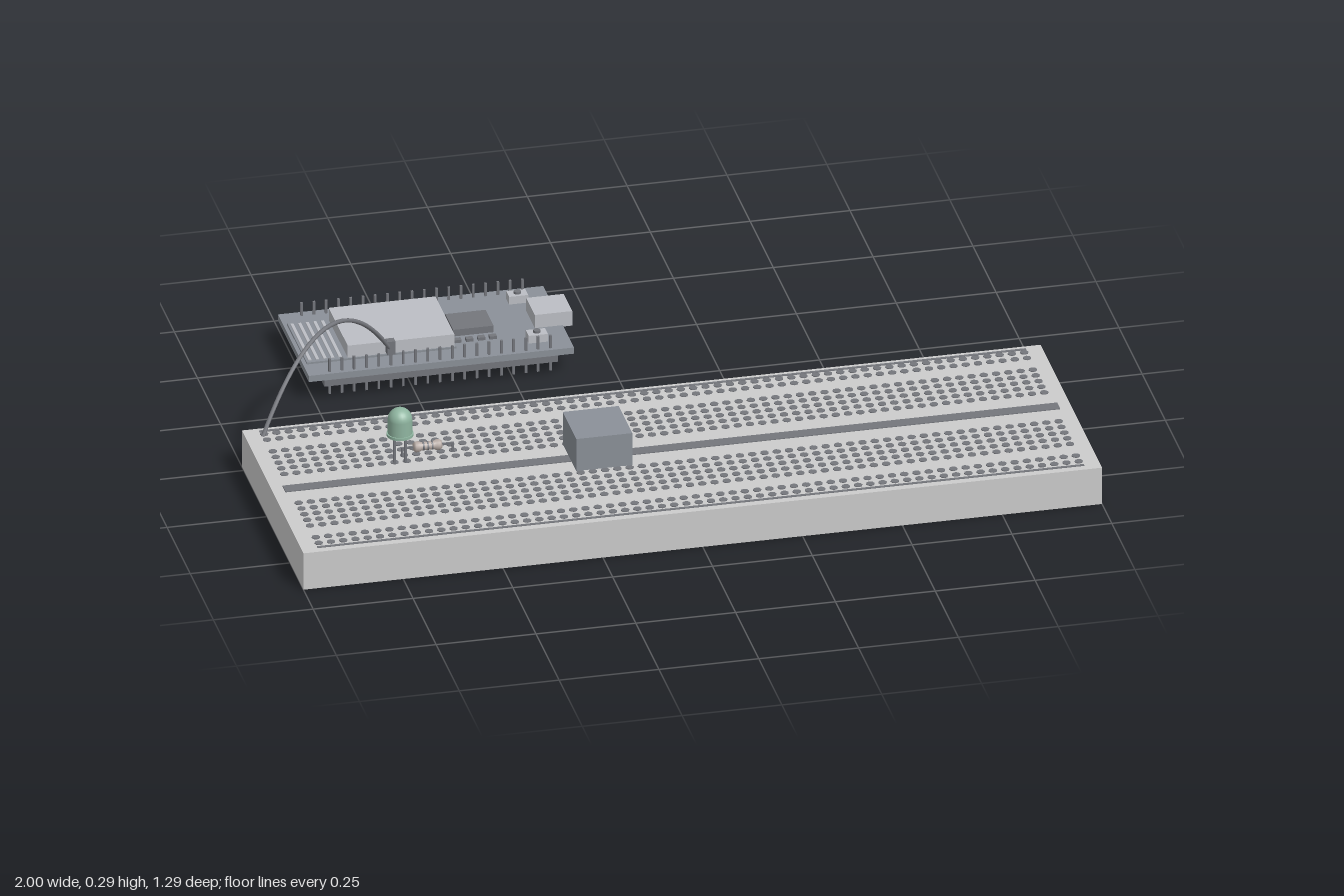
import * as THREE from 'three';
import { mergeGeometries } from 'three/addons/utils/BufferGeometryUtils.js';

const mat = (color = 0xcccccc, flatShading = false) => new THREE.MeshStandardMaterial({ color, flatShading });
const grey = mat(), slate = mat(0x8a9098), dark = mat(0x74767c), green = mat(0x8fb5a0), silver = mat(0xbcbec4);

const PITCH = 0.0307;

// Box geometry from min / max along each axis
function boxGeo(x0, x1, y0, y1, z0, z1) {
  return new THREE.BoxGeometry(x1 - x0, y1 - y0, z1 - z0)
    .translate((x0 + x1) / 2, (y0 + y1) / 2, (z0 + z1) / 2);
}

function add(parent, name, geometry, material) {
  const mesh = new THREE.Mesh(geometry, material);
  mesh.name = name;
  parent.add(mesh);
  return mesh;
}

const box = (parent, name, material, ...b) => add(parent, name, boxGeo(...b), material);

function makeBreadboard() {
  const g = new THREE.Group();
  g.name = 'breadboard';
  box(g, 'baseBlock', grey, -1, 1, 0, 0.1, -0.02, 0.645);
  box(g, 'centreChannel', dark, -0.97, 0.97, 0.099, 0.102, 0.289, 0.322);
  for (const z of [-0.004, 0.622]) box(g, 'railLine', dark, -0.96, 0.96, 0.099, 0.1015, z - 0.004, z + 0.004);

  // Hole grid: two rails and five terminal rows on each side of the channel
  const rows = [];
  for (const side of [-1, 1]) {
    for (let i = 0; i < 5; i++) rows.push(0.3065 + side * (0.078 + i * PITCH));
    for (let i = 0; i < 2; i++) rows.push(0.3065 + side * (0.264 + i * PITCH));
  }
  const hole = new THREE.CylinderGeometry(0.0105, 0.0105, 0.003, 8);
  const holes = [];
  for (const z of rows)
    for (let c = -31; c <= 31; c++) holes.push(hole.clone().translate(c * PITCH, 0.1005, z));
  add(g, 'contactHoles', mergeGeometries(holes), dark);
  return g;
}

function makeController() {
  const g = new THREE.Group();
  g.name = 'controllerBoard';
  box(g, 'circuitBoard', slate, -0.764, -0.1, 0.055, 0.072, -0.648, -0.315);

  // Radio module: carrier, shield can and antenna trace
  box(g, 'radioCarrier', slate, -0.755, -0.38, 0.072, 0.077, -0.59, -0.375);
  box(g, 'shieldCan', silver, -0.652, -0.385, 0.075, 0.11, -0.583, -0.378);
  for (let i = 0; i < 5; i++) {
    const x = -0.745 + i * 0.019;
    box(g, 'antennaTrace', silver, x - 0.004, x + 0.004, 0.076, 0.079, -0.58, -0.385);
  }

  box(g, 'chip', dark, -0.374, -0.273, 0.072, 0.09, -0.524, -0.438);
  for (let i = 0; i < 4; i++) {
    const x = -0.37 + i * 0.0295;
    box(g, 'smallComponent', dark, x - 0.009, x + 0.009, 0.072, 0.08, -0.416, -0.402);
  }

  // Two tactile switches
  for (const z of [-0.587, -0.376]) {
    box(g, 'switchBody', silver, -0.203, -0.155, 0.072, 0.093, z - 0.016, z + 0.016);
    add(g, 'switchCap', new THREE.CylinderGeometry(0.009, 0.009, 0.006, 12).translate(-0.179, 0.096, z), dark);
  }

  // Socket with its dark mouth
  box(g, 'cableSocket', silver, -0.17, -0.076, 0.068, 0.108, -0.529, -0.436);
  box(g, 'socketMouth', dark, -0.08, -0.074, 0.077, 0.098, -0.516, -0.449);

  // Pin headers under both long edges
  for (const z of [-0.327, -0.63]) {
    box(g, 'headerStrip', dark, -0.725, -0.14, 0.038, 0.055, z - 0.0125, z + 0.0125);
    const pins = [];
    for (let i = 0; i < 19; i++) {
      const x = -0.709 + i * PITCH;
      pins.push(boxGeo(x - 0.003, x + 0.003, 0.011, 0.107, z - 0.003, z + 0.003));
    }
    add(g, 'headerPins', mergeGeometries(pins), dark);
  }
  return g;
}

function makeLed() {
  const g = new THREE.Group();
  g.name = 'lightDiode';
  const pts = [[0, 0.177], [0.033, 0.177], [0.033, 0.184], [0.03, 0.184], [0.03, 0.221]]
    .map(p => new THREE.Vector2(...p));
  // Each profile segment is separate so the edges stay sharp
  const walls = [];
  for (let i = 0; i < pts.length - 1; i++) walls.push(new THREE.LatheGeometry([pts[i], pts[i + 1]], 24));
  add(g, 'diodeBody', mergeGeometries(walls), green);
  const dome = new THREE.SphereGeometry(0.03, 24, 10, 0, Math.PI * 2, 0, Math.PI / 2);
  add(g, 'diodeDome', dome.translate(0, 0.221, 0), green);
  for (const x of [-0.0135, 0.0135]) box(g, 'diodeLeg', dark, x - 0.003, x + 0.003, 0.095, 0.178, -0.003, 0.003);
  g.position.set(-0.663, 0, 0.234);
  return g;
}

function makeResistor() {
  const g = new THREE.Group();
  g.name = 'resistor';
  const profile = [[0, -0.036], [0.01, -0.035], [0.0135, -0.03], [0.0135, -0.022], [0.0105, -0.016],
    [0.0105, 0.016], [0.0135, 0.022], [0.0135, 0.03], [0.01, 0.035], [0, 0.036]];
  const body = new THREE.LatheGeometry(profile.map(p => new THREE.Vector2(...p)), 16);
  add(g, 'resistorBody', body.rotateZ(Math.PI / 2).translate(0, 0.123, 0), mat(0xb8aca6));
  for (const y of [-0.011, 0, 0.011]) {
    add(g, 'resistorBand', new THREE.CylinderGeometry(0.0112, 0.0112, 0.004, 16)
      .rotateZ(Math.PI / 2).translate(y, 0.123, 0), dark);
  }
  // Bent lead wires
  for (const s of [-1, 1]) {
    box(g, 'lead', dark, Math.min(0.033 * s, 0.065 * s), Math.max(0.033 * s, 0.065 * s), 0.1205, 0.1255, -0.0025, 0.0025);
    box(g, 'leadFoot', dark, 0.0635 * s - 0.0025, 0.0635 * s + 0.0025, 0.095, 0.1255, -0.0025, 0.0025);
  }
  g.position.set(-0.587, 0, 0.203);
  return g;
}

function makeJumper() {
  const g = new THREE.Group();
  g.name = 'jumperWire';
  // Arc from the board corner to a header pin
  const arc = new THREE.QuadraticBezierCurve3(
    new THREE.Vector3(-0.957, 0.098, 0.02),
    new THREE.Vector3(-0.757, 0.468, -0.152),
    new THREE.Vector3(-0.557, 0.115, -0.325));
  add(g, 'wire', new THREE.TubeGeometry(arc, 40, 0.0055, 8), dark);
  box(g, 'wirePlug', dark, -0.567, -0.547, 0.105, 0.141, -0.336, -0.316);
  return g;
}

function makeBlock() {
  const g = new THREE.Group();
  g.name = 'relayBlock';
  box(g, 'relayCase', slate, -0.256, -0.116, 0.106, 0.194, 0.237, 0.384);
  for (const x of [-0.235, -0.137])
    for (const z of [0.26, 0.36]) box(g, 'relayLeg', dark, x - 0.004, x + 0.004, 0.095, 0.107, z - 0.004, z + 0.004);
  return g;
}

export function createModel() {
  const model = new THREE.Group();
  model.name = 'breadboardCircuit';
  model.add(makeBreadboard(), makeController(), makeLed(), makeResistor(), makeJumper(), makeBlock());
  return model;
}
